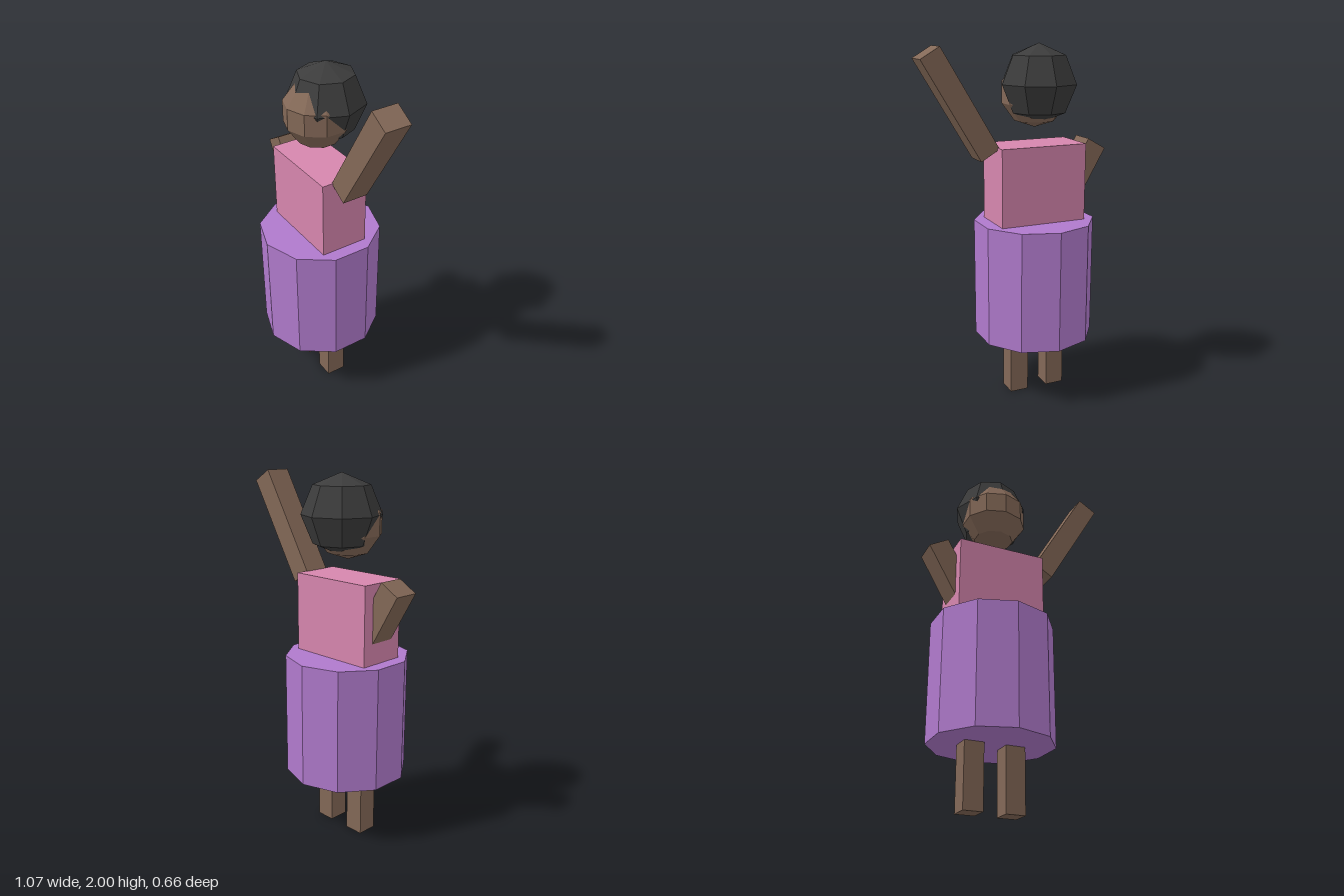
import * as THREE from 'three';

const flat = (name, color) => {
  const m = new THREE.MeshStandardMaterial({ color, flatShading: true });
  m.name = name;
  return m;
};

export function createModel() {
  const skin = flat('skin', 0x836857);
  const hair = flat('hair', 0x3c3c3c);
  const pink = flat('pink top', 0xd686ae);
  const purple = flat('purple skirt', 0xb07acc);

  // The whole figure is turned slightly to its right
  const root = new THREE.Group();
  const figure = new THREE.Group();
  figure.name = 'figure';
  figure.position.x = -0.125;
  figure.rotation.y = -0.253;
  root.add(figure);

  const add = (name, geometry, material, x, y, z = 0) => {
    const mesh = new THREE.Mesh(geometry, material);
    mesh.name = name;
    mesh.position.set(x, y, z);
    figure.add(mesh);
    return mesh;
  };

  // Body
  add('torso', new THREE.BoxGeometry(0.5, 0.5, 0.27), pink, 0, 1.21);
  add('skirt', new THREE.CylinderGeometry(0.34, 0.34, 0.68, 10), purple, 0, 0.69);

  // Head, with the hair as a larger ball set back and up
  add('head', new THREE.SphereGeometry(0.19, 10, 5).rotateY(Math.PI / 2), skin, 0, 1.74);
  add('hair', new THREE.SphereGeometry(0.213, 8, 4), hair, 0, 1.787, -0.05);

  // Legs, running up inside the skirt
  for (const [side, s] of [['left', 1], ['right', -1]]) {
    add(side + 'Leg', new THREE.BoxGeometry(0.108, 0.6, 0.112), skin, s * 0.114, 0.3);
  }

  // Arms: the left one raised, the right one sunk into the torso
  const arm = new THREE.BoxGeometry(0.122, 0.625, 0.145);
  add('leftArm', arm, skin, 0.449, 1.69).rotation.z = -0.535;
  add('rightArm', arm, skin, -0.197, 1.175).rotation.z = 0.525;

  return root;
}
